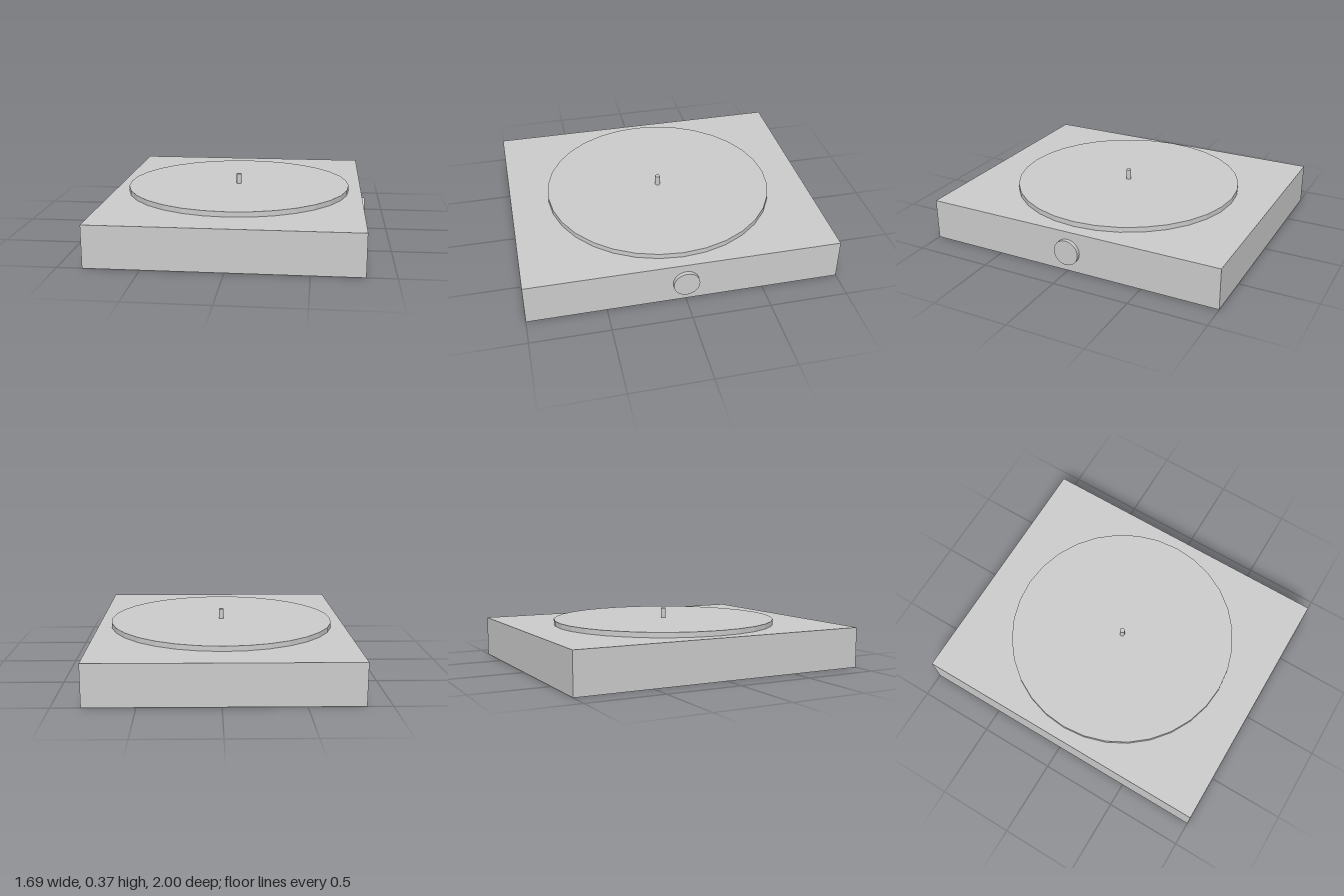
import * as THREE from 'three';

export function createModel() {
  const model = new THREE.Group();
  model.name = 'turntable';
  const material = new THREE.MeshStandardMaterial({ color: 0xcccccc, flatShading: true });

  const cx = -0.0125; // the body sits off centre to leave room for the knob
  const width = 1.667, height = 0.267, depth = 2;
  const platterHeight = 0.033, spindleHeight = 0.067, knobDepth = 0.025;

  const add = (name, geometry, x, y, z = 0) => {
    const mesh = new THREE.Mesh(geometry, material);
    mesh.name = name;
    mesh.position.set(x, y, z);
    model.add(mesh);
    return mesh;
  };
  const disc = (radius, length, sides) => new THREE.CylinderGeometry(radius, radius, length, sides);

  // Plinth
  add('base', new THREE.BoxGeometry(width, height, depth), cx, height / 2);

  // Rotating disc and its centre pin
  add('platter', disc(0.75, platterHeight, 32), cx, height + platterHeight / 2);
  add('spindle', disc(0.0167, spindleHeight, 16), cx, height + platterHeight + spindleHeight / 2);

  // Control knob on the left side
  const knob = add('knob', disc(0.083, knobDepth, 32), cx + width / 2 + knobDepth / 2, height / 2);
  knob.rotation.z = -Math.PI / 2;

  return model;
}
